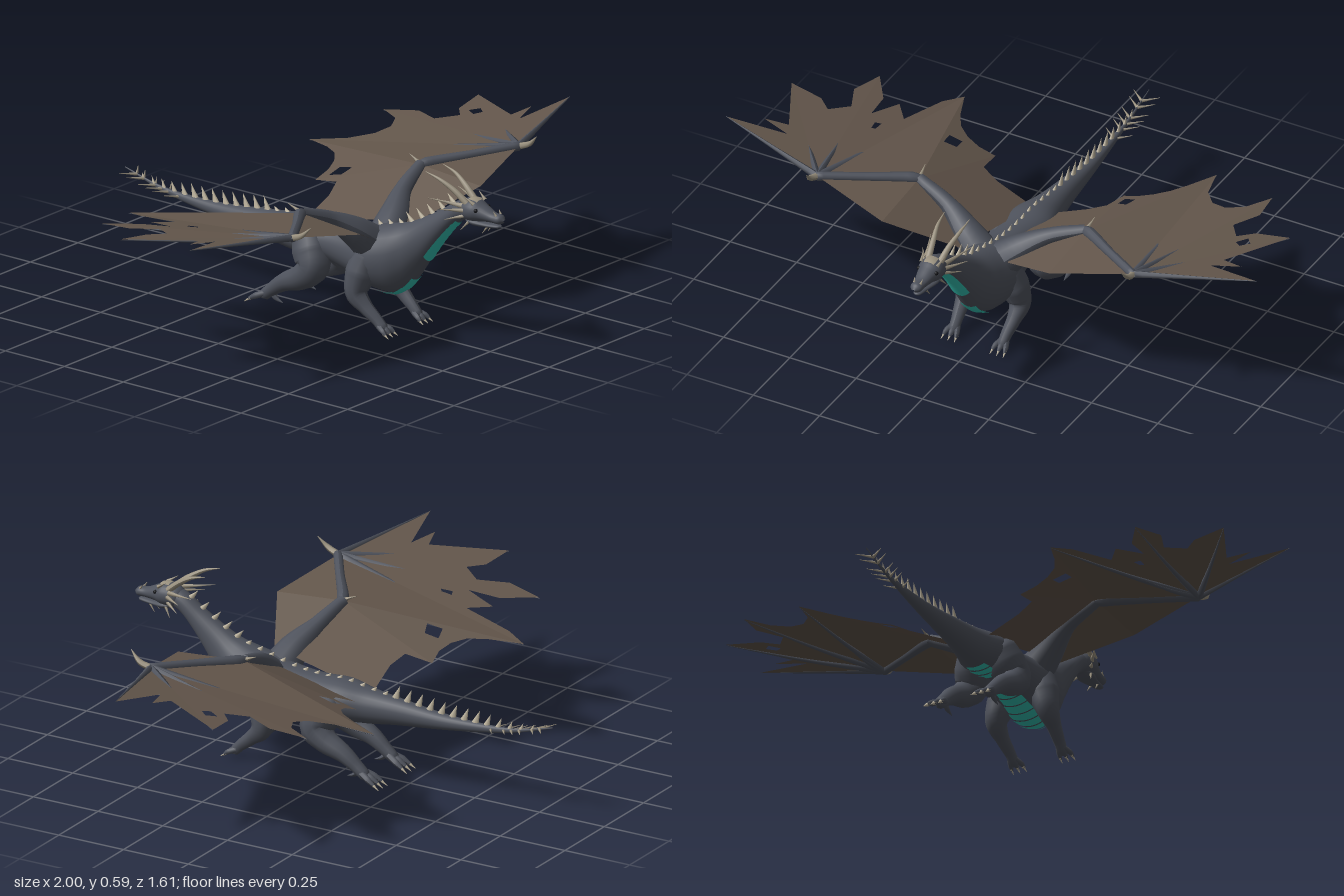
import * as THREE from 'three';

const mat = (name, color, side = THREE.FrontSide) =>
  Object.assign(new THREE.MeshStandardMaterial({ color, side }), { name });
const V = (p) => new THREE.Vector3(...p);

export function createModel() {
  const skin = mat('slate skin', 0x4e525c);
  const membrane = mat('brown membrane', 0x63564b, THREE.DoubleSide);
  const horn = mat('grey horn', 0x9a917f);
  const bone = mat('pale bone', 0xbfb59f);
  const teal = mat('teal scales', 0x33bfb0);
  const dark = mat('dark eye', 0x15161a);

  const root = new THREE.Group();
  root.name = 'dragon';
  const add = (name, geo, material, parent = root) => {
    const m = new THREE.Mesh(geo, material);
    m.name = name;
    parent.add(m);
    return m;
  };
  const group = (name) => {
    const g = new THREE.Group();
    g.name = name;
    root.add(g);
    return g;
  };

  // Tapered tube through [x, y, z, radius] points; s mirrors it in x
  function limb(pts, s = 1, sides = 10, steps = pts.length * 4) {
    const curve = new THREE.CatmullRomCurve3(pts.map((p) => new THREE.Vector3(p[0] * s, p[1], p[2])));
    const geo = new THREE.TubeGeometry(curve, steps, 1, sides);
    const pos = geo.attributes.position, v = new THREE.Vector3();
    for (let i = 0; i <= steps; i++) {
      const c = curve.getPointAt(i / steps);
      const f = curve.getUtoTmapping(i / steps) * (pts.length - 1);
      const k = Math.min(Math.floor(f), pts.length - 2);
      const r = THREE.MathUtils.lerp(pts[k][3], pts[k + 1][3], f - k);
      for (let j = 0; j <= sides; j++) {
        const n = i * (sides + 1) + j;
        v.fromBufferAttribute(pos, n).sub(c).multiplyScalar(r).add(c);
        pos.setXYZ(n, v.x, v.y, v.z);
      }
    }
    geo.computeVertexNormals();
    return geo;
  }
  const spike = (a, b, r, s = 1) => limb([[...a, r], [...b, 0.0008]], s, 6, 2);

  // Smooth profile from rows of [z, top, bottom, half width]
  function profile(rows) {
    const a = new THREE.CatmullRomCurve3(rows.map(([z, t, b]) => V([z, (t + b) / 2, (t - b) / 2])), false, 'catmullrom');
    const w = new THREE.CatmullRomCurve3(rows.map((r) => V([r[3], 0, 0])), false, 'catmullrom');
    const at = (t) => {
      const p = a.getPoint(t);
      return { z: p.x, mid: p.y, h: Math.max(p.z, 0.0008), w: Math.max(w.getPoint(t).x, 0.0008) };
    };
    const atZ = (z) => {
      let lo = 0, hi = 1;
      for (let i = 0; i < 24; i++) {
        const m = (lo + hi) / 2;
        if (at(m).z < z) lo = m; else hi = m;
      }
      return at(lo);
    };
    return { at, atZ };
  }

  // Skin over elliptical sections between two angles
  function loft(sections, grow = 0, a0 = 0, a1 = Math.PI * 2, sides = 24) {
    const closed = a1 - a0 > 6.28, n = closed ? sides : sides + 1;
    const pos = [], idx = [];
    sections.forEach((q, i) => {
      for (let j = 0; j < n; j++) {
        const a = a0 + ((a1 - a0) * j) / sides;
        pos.push((q.w + grow) * Math.cos(a), q.mid + (q.h + grow) * Math.sin(a), q.z);
      }
      if (i === sections.length - 1) return;
      for (let j = 0; j < sides; j++) {
        const p = i * n + j, r = i * n + ((j + 1) % n);
        idx.push(p, r, p + n, r, r + n, p + n);
      }
    });
    const geo = new THREE.BufferGeometry();
    geo.setAttribute('position', new THREE.Float32BufferAttribute(pos, 3));
    geo.setIndex(idx);
    geo.computeVertexNormals();
    return geo;
  }
  const sample = (f, n) => Array.from({ length: n + 1 }, (_, i) => f(i / n));

  // Body from tail tip to neck
  const body = profile([
    [-0.8, 0.311, 0.307, 0.001], [-0.63, 0.275, 0.257, 0.007], [-0.41, 0.272, 0.222, 0.024],
    [-0.21, 0.292, 0.2, 0.042], [-0.1, 0.305, 0.185, 0.06], [0, 0.32, 0.18, 0.088],
    [0.1, 0.318, 0.178, 0.08], [0.2, 0.327, 0.155, 0.091], [0.28, 0.345, 0.13, 0.108],
    [0.36, 0.366, 0.125, 0.094], [0.42, 0.385, 0.165, 0.071], [0.476, 0.414, 0.24, 0.052],
    [0.55, 0.457, 0.345, 0.04], [0.615, 0.5, 0.42, 0.035], [0.665, 0.515, 0.45, 0.034],
  ]);
  add('body', loft(sample(body.at, 90)), skin);

  // Head, lower jaw and forehead plate
  const head = profile([
    [0.615, 0.485, 0.465, 0.004], [0.64, 0.513, 0.445, 0.035], [0.69, 0.523, 0.443, 0.044],
    [0.725, 0.508, 0.451, 0.033], [0.765, 0.49, 0.455, 0.023], [0.795, 0.487, 0.455, 0.02], [0.81, 0.472, 0.466, 0.004],
  ]);
  add('head', loft(sample(head.at, 30)), skin);
  add('foreheadPlate', loft(sample((t) => head.atZ(0.672 + t * 0.035), 4), 0.003, 1.12, 2.02, 6), horn);
  const jaw = profile([
    [0.65, 0.46, 0.445, 0.02], [0.69, 0.46, 0.433, 0.032], [0.74, 0.452, 0.434, 0.021],
    [0.785, 0.452, 0.438, 0.014], [0.797, 0.447, 0.444, 0.003],
  ]);
  add('lowerJaw', loft(sample(jaw.at, 16)), skin);

  // Throat and belly plates, each flaring slightly over the next
  const plates = group('bellyPlates');
  for (const [z0, z1, count, half] of [[0.497, 0.625, 7, 0.78], [0.14, 0.44, 8, 0.46], [-0.06, 0.04, 3, 0.45]]) {
    for (let i = 0; i < count; i++) {
      const d = (z1 - z0) / count, z = z0 + i * d;
      const cut = sample((t) => {
        const q = body.atZ(z + t * d);
        return { ...q, w: q.w + 0.004 * (1 - t), h: q.h + 0.004 * (1 - t) };
      }, 4);
      add('plate', loft(cut, 0.003, -Math.PI / 2 - half, -Math.PI / 2 + half, 8), teal, plates);
    }
  }

  // Crest along neck, back and tail: narrow cones swept backwards
  const crest = group('crestSpikes');
  for (let z = -0.72; z < 0.62; z += 0.044) {
    const q = body.atZ(z), y = q.mid + q.h;
    const onTail = z < -0.16, size = onTail ? Math.min(1, (z + 0.9) / 0.4) : 1;
    const h = onTail ? 0.05 * size : z > 0.4 ? 0.032 : 0.018;
    const lean = onTail ? 0.4 : 1;
    const geo = new THREE.ConeGeometry(1, 1, 8).translate(0, 0.5, 0).scale(0.008 * size, h, 0.015 * size);
    geo.applyMatrix4(new THREE.Matrix4().set(1, 0, 0, 0, 0, 1, 0, y - 0.006, 0, -lean, 1, z, 0, 0, 0, 1));
    add('crestSpike', geo, bone, crest);
  }

  // Wing key points
  const S = [0.07, 0.32, 0.25], E = [0.315, 0.45, 0.2], W = [0.595, 0.48, 0.39];
  const T = [[1, 0.52, 0.28], [0.94, 0.47, -0.06], [0.74, 0.42, -0.3], [0.475, 0.365, -0.4]];
  const Q = [0.242, 0.332, -0.188], R = [0.04, 0.265, -0.075], F = [0.315, 0.43, 0.455];
  const xz = (p) => [p[0], p[2]];

  // Flat skin panel: outline and holes in x,z laid on the plane of three points
  function panel(refs, outline, holes, s) {
    const plane = new THREE.Plane().setFromCoplanarPoints(...refs.map(V));
    const n = plane.normal, to2 = (l) => l.map((p) => new THREE.Vector2(...p));
    const faces = THREE.ShapeUtils.triangulateShape(to2(outline), holes.map(to2));
    const pos = [outline, ...holes].flat().flatMap(([x, z]) => [x * s, -(plane.constant + n.x * x + n.z * z) / n.y, z]);
    const geo = new THREE.BufferGeometry();
    geo.setAttribute('position', new THREE.Float32BufferAttribute(pos, 3));
    // keep the upper side as the front
    geo.setIndex(faces.flatMap(([a, b, c]) => {
      const u = (i, j) => pos[i * 3 + j];
      const up = (u(b, 2) - u(a, 2)) * (u(c, 0) - u(a, 0)) - (u(b, 0) - u(a, 0)) * (u(c, 2) - u(a, 2));
      return up > 0 ? [a, b, c] : [a, c, b];
    }));
    geo.computeVertexNormals();
    return geo;
  }
  // Torn edges and holes differ between the two wings
  const torn = {
    left: {
      edge: [[0.69, -0.21], [0.63, -0.18], [0.57, -0.2], [0.515, -0.27]],
      outer: [[[0.79, 0.04], [0.815, 0], [0.84, 0.03], [0.815, 0.06]]],
      middle: [],
      inner: [[[0.268, -0.15], [0.312, -0.14], [0.308, -0.085], [0.268, -0.1]]],
    },
    right: {
      edge: [[0.665, -0.19], [0.65, -0.08], [0.61, -0.2], [0.555, -0.13], [0.53, -0.25], [0.515, -0.32]],
      outer: [],
      middle: [[[0.595, -0.05], [0.615, -0.04], [0.607, 0], [0.595, -0.01]]],
      inner: [[[0.345, -0.15], [0.388, -0.14], [0.38, -0.085], [0.34, -0.1]]],
    },
  };
  const panels = (t) => [
    [[W, T[0], T[1]], [xz(W), xz(T[0]), [0.797, 0.23], [0.9, 0.2], [0.82, 0.176], xz(T[1])], []],
    [[W, T[1], T[2]], [xz(W), xz(T[1]), [0.82, -0.045], [0.77, 0], [0.72, -0.07], [0.765, -0.17], xz(T[2])], t.outer],
    [[W, T[2], T[3]], [xz(W), xz(T[2]), ...t.edge, xz(T[3])], t.middle],
    [[W, T[3], E], [xz(W), xz(T[3]), xz(E)], []],
    [[E, T[3], Q], [xz(E), xz(T[3]), [0.43, -0.29], [0.395, -0.23], [0.35, -0.195], [0.3, -0.18], xz(Q)], t.inner],
    [[E, Q, R], [xz(E), xz(Q), [0.232, -0.09], [0.17, -0.07], xz(R), [0.05, 0.25]], []],
    [[E, W, F], [xz(E), xz(W), xz(F)], []],
    [[E, F, S], [xz(E), xz(F), [0.09, 0.33], xz(S)], []],
  ];

  for (const s of [1, -1]) {
    const side = s > 0 ? 'left' : 'right';

    // Wing; the fingers run just under the skin
    const wing = group(side + 'Wing');
    panels(torn[side]).forEach(([refs, outline, holes]) => add('wingMembrane', panel(refs, outline, holes, s), membrane, wing));
    add('upperArm', limb([[0.02, 0.27, 0.28, 0.07], [0.1, 0.34, 0.26, 0.052], [0.19, 0.4, 0.225, 0.029], [...E, 0.02]], s), skin, wing);
    add('forearm', limb([[0.3, 0.447, 0.197, 0.012], [0.33, 0.452, 0.21, 0.021], [0.46, 0.467, 0.3, 0.016], [...W, 0.016], [0.61, 0.481, 0.4, 0.002]], s), skin, wing);
    [...T, [0.55, 0.425, 0.06]].forEach((t, i) => {
      const sink = i ? 0.009 : 0;
      const m = V(W).lerp(V(t), 0.42);
      add('wingFinger', limb([[...W, 0.013], [m.x, m.y - sink, m.z, 0.007], [t[0], t[1] - sink / 3, t[2], 0.001]], s, 6), skin, wing);
    });
    add('thumbClaw', limb([[...W, 0.012], [0.6, 0.495, 0.43, 0.01], [0.593, 0.53, 0.468, 0.001]], s, 6), horn, wing);
    add('elbowClaw', spike([0.315, 0.455, 0.195], [0.32, 0.475, 0.15], 0.008, s), horn, wing);

    // Front leg
    const fore = group(side + 'FrontLeg');
    add('leg', limb([[0.06, 0.25, 0.28, 0.05], [0.08, 0.19, 0.265, 0.053], [0.098, 0.125, 0.262, 0.038], [0.098, 0.085, 0.3, 0.025],
      [0.093, 0.045, 0.348, 0.019], [0.092, 0.022, 0.372, 0.018], [0.092, 0.015, 0.39, 0.003]], s), skin, fore);
    // Hind leg, trailing backwards
    const hind = group(side + 'HindLeg');
    add('leg', limb([[0.035, 0.275, 0.01, 0.03], [0.045, 0.26, 0.02, 0.058], [0.062, 0.215, 0.042, 0.066], [0.083, 0.165, 0.062, 0.056],
      [0.092, 0.13, 0.025, 0.044], [0.093, 0.095, -0.05, 0.031], [0.092, 0.06, -0.1, 0.023], [0.092, 0.035, -0.132, 0.02],
      [0.092, 0.022, -0.15, 0.004]], s), skin, hind);
    for (const k of [-1, 0, 1]) {
      add('toe', limb([[0.092 + k * 0.01, 0.03, 0.36, 0.01], [0.092 + k * 0.02, 0.02, 0.385, 0.009], [0.092 + k * 0.023, 0.01, 0.398, 0.005]], s, 7), skin, fore);
      add('claw', spike([0.092 + k * 0.022, 0.014, 0.39], [0.092 + k * 0.025, 0.001, 0.412], 0.0065, s), bone, fore);
      add('toe', limb([[0.09 + k * 0.01, 0.045, -0.12, 0.012], [0.09 + k * 0.022, 0.03, -0.155, 0.011], [0.09 + k * 0.026, 0.016, -0.18, 0.006]], s, 7), skin, hind);
      add('claw', spike([0.09 + k * 0.025, 0.02, -0.172], [0.09 + k * 0.028, 0.002, -0.2], 0.0075, s), bone, hind);
    }
    add('spur', limb([[0.09, 0.05, -0.11, 0.012], [0.088, 0.03, -0.09, 0.009], [0.087, 0.018, -0.06, 0.001]], s, 6), skin, hind);

    // Horns, cheek spikes and chin barbs
    const horns = group(side + 'Horns');
    add('horn', limb([[0.022, 0.505, 0.67, 0.012], [0.03, 0.542, 0.625, 0.01], [0.042, 0.574, 0.57, 0.006], [0.047, 0.591, 0.513, 0.001]], s, 8), horn, horns);
    for (const [a, b, r] of [
      [[0.036, 0.5, 0.66], [0.078, 0.515, 0.55], 0.009], [[0.038, 0.485, 0.665], [0.085, 0.487, 0.595], 0.008],
      [[0.035, 0.465, 0.665], [0.07, 0.45, 0.61], 0.007], [[0.025, 0.447, 0.68], [0.04, 0.415, 0.655], 0.006],
      [[0.012, 0.442, 0.75], [0.016, 0.413, 0.728], 0.005], [[0.03, 0.512, 0.705], [0.04, 0.535, 0.67], 0.007],
      [[0.012, 0.484, 0.785], [0.015, 0.499, 0.775], 0.005],
    ]) add('headSpike', spike(a, b, r, s), horn, horns);
    const eye = add('eye', new THREE.SphereGeometry(0.007, 12, 8), dark);
    eye.position.set(0.033 * s, 0.493, 0.715);

    // Paired barbs at the tail tip
    const barbs = group(side + 'TailBarbs');
    for (const z of [-0.56, -0.61, -0.64, -0.67, -0.72, -0.75]) {
      const q = body.atZ(z);
      add('tailBarb', spike([0, q.mid, z], [0.05, q.mid + 0.008, z - 0.035], 0.006, s), horn, barbs);
    }
  }
  return root;
}
